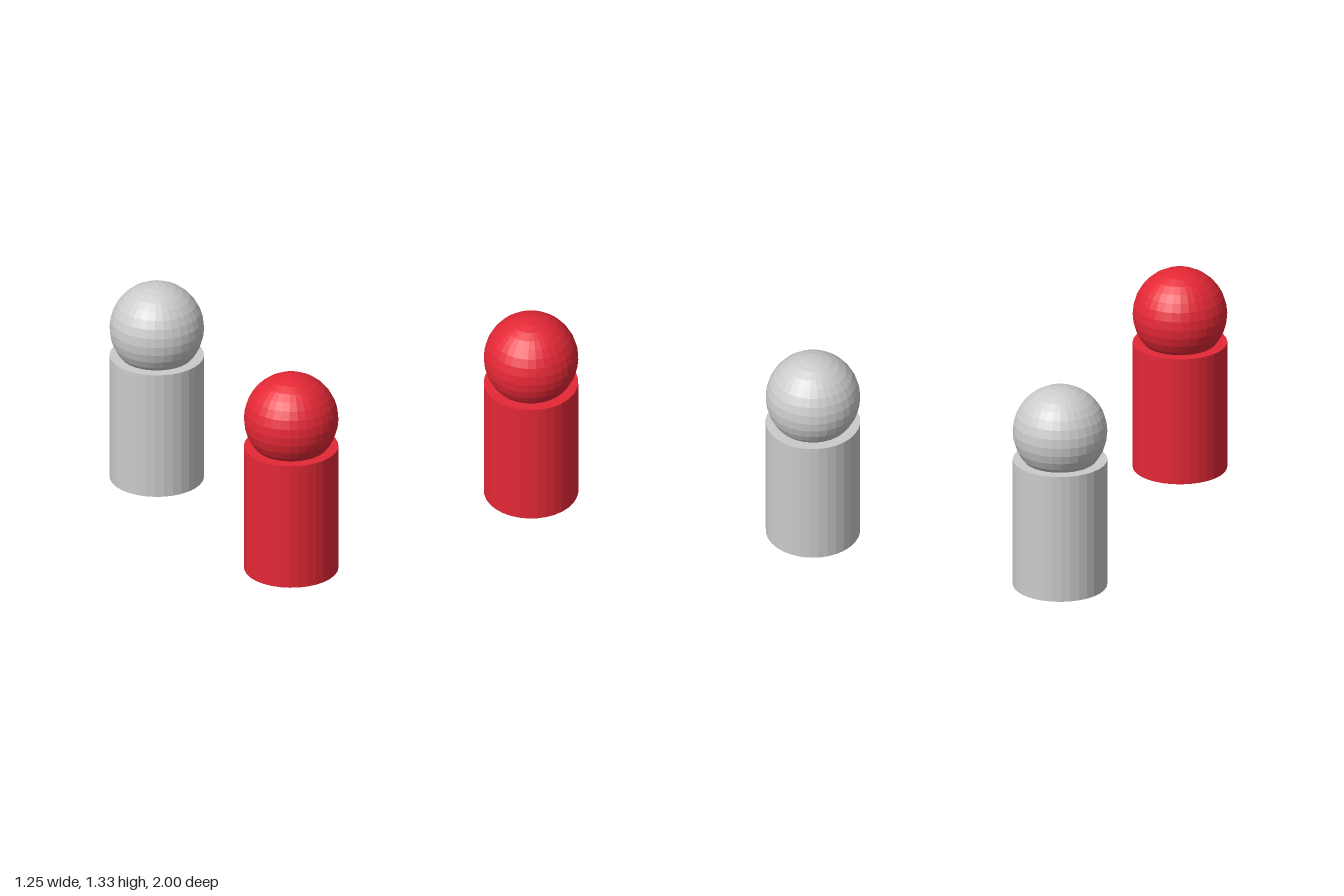
import * as THREE from 'three';

const RADIUS = 0.27;
const BODY_HEIGHT = 0.77;
const HEAD_HEIGHT = 0.943; // head centre above the base of the body

// A peg figure: a cylinder body with a ball head sunk into its top
function makePeg(name, color, x, y, z) {
  const material = new THREE.MeshStandardMaterial({ color, flatShading: true });
  const peg = new THREE.Group();
  peg.name = name;
  peg.position.set(x, y, z);

  const body = new THREE.Mesh(new THREE.CylinderGeometry(RADIUS, RADIUS, BODY_HEIGHT, 32), material);
  body.name = 'body';
  body.position.y = BODY_HEIGHT / 2;

  const head = new THREE.Mesh(new THREE.SphereGeometry(RADIUS, 32, 16), material);
  head.name = 'head';
  head.position.y = HEAD_HEIGHT;

  peg.add(body, head);
  return peg;
}

export function createModel() {
  const model = new THREE.Group();
  model.name = 'pegFigures';
  model.add(
    makePeg('redPeg', 0xe52836, -0.353, 0.118, 0.73),
    makePeg('greyPeg', 0xcccccc, 0.353, 0, -0.73),
  );
  return model;
}
